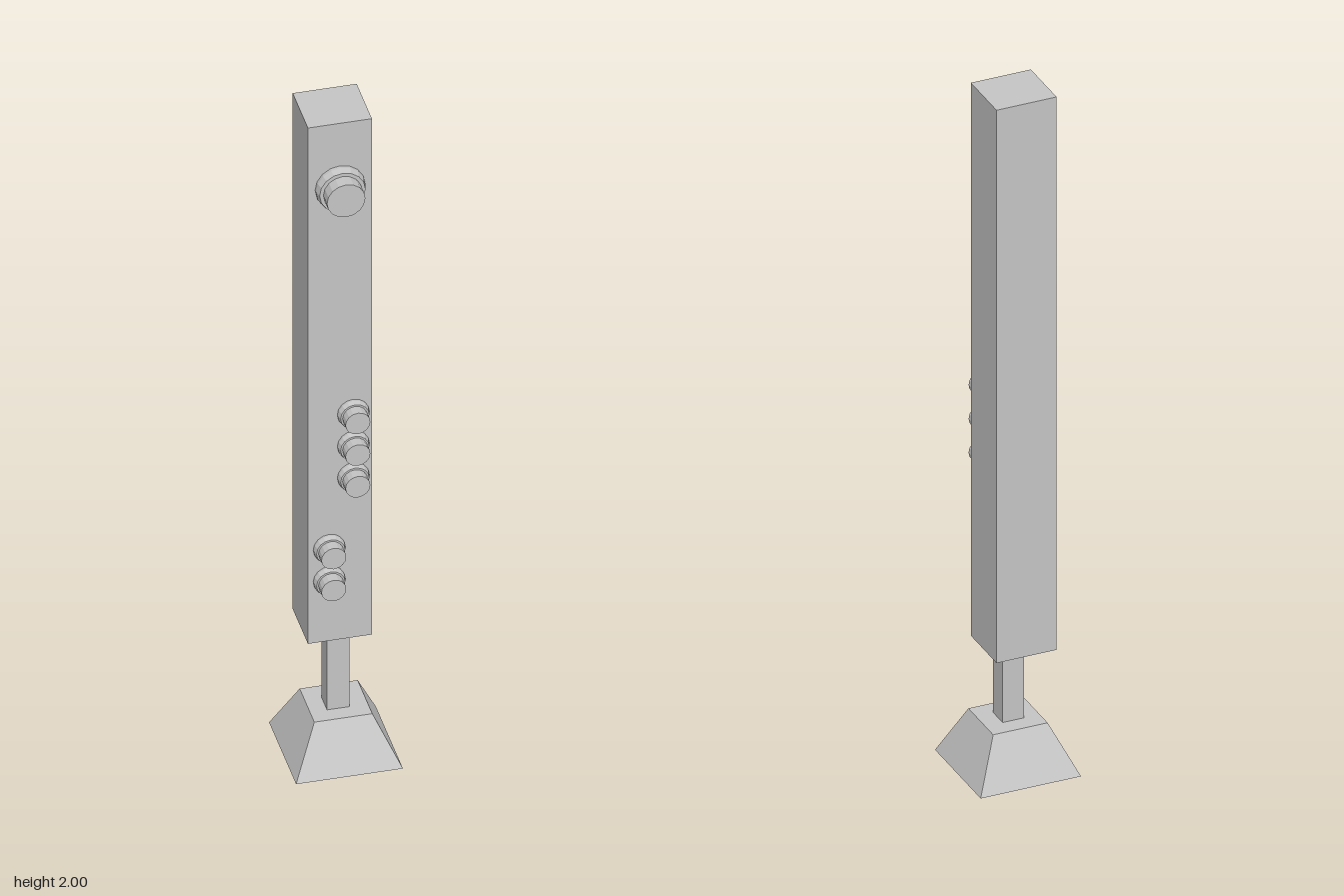
import * as THREE from 'three';

export function createModel() {
  const model = new THREE.Group();
  const grey = new THREE.MeshStandardMaterial({ color: 0xc4c4c4, flatShading: true });
  grey.name = 'grey';

  const add = (name, geometry, x, y, z) => {
    const mesh = new THREE.Mesh(geometry, grey);
    mesh.name = name;
    mesh.position.set(x, y, z);
    model.add(mesh);
    return mesh;
  };

  // Pyramid foot with a flat top
  const foot = new THREE.CylinderGeometry(0.077 * Math.SQRT2, 0.142 * Math.SQRT2, 0.14, 4);
  foot.rotateY(Math.PI / 4);
  add('foot', foot, 0, 0.07, 0);

  // Square stem and tall body
  add('stem', new THREE.BoxGeometry(0.06, 0.235, 0.06), -0.002, 0.2525, 0.002);
  add('body', new THREE.BoxGeometry(0.17, 1.63, 0.16), -0.002, 1.185, -0.031);

  // Stepped knob: tapered collar, then a straight cap, pointing to +z
  const bodyFront = 0.049;
  const knob = (name, x, y, collar, collarTop, cap, collarDepth, depth) => {
    const profile = [
      [collar, 0], [collar, collarDepth * 0.35], [collarTop, collarDepth],
      [cap, collarDepth], [cap, depth], [0, depth],
    ].map(([r, h]) => new THREE.Vector2(r, h));
    const geometry = new THREE.LatheGeometry(profile, 16);
    geometry.rotateX(Math.PI / 2);
    add(name, geometry, x, y, bodyFront);
  };

  knob('largeKnob', -0.002, 1.8, 0.066, 0.061, 0.051, 0.028, 0.066);
  for (const y of [1.08, 0.98, 0.88]) knob('upperButton', 0.033, y, 0.042, 0.038, 0.033, 0.02, 0.051);
  for (const y of [0.664, 0.563]) knob('lowerButton', -0.031, y, 0.042, 0.038, 0.033, 0.02, 0.051);

  return model;
}
